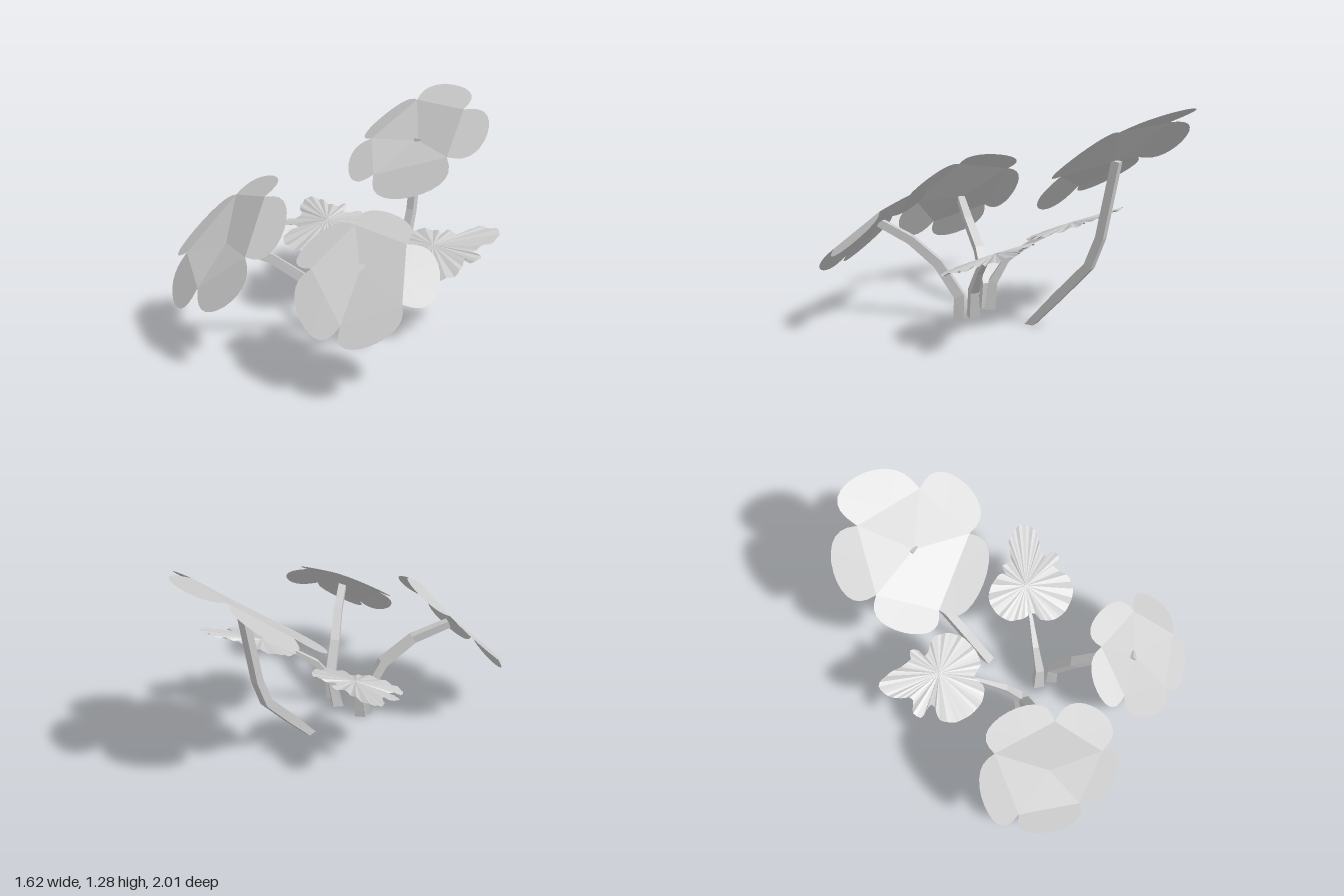
import * as THREE from 'three';

const grey = new THREE.MeshStandardMaterial({ color: 0xcccccc, side: THREE.DoubleSide });
grey.name = 'pale grey';

const V = (p) => new THREE.Vector3(p[0], p[1], p[2]);

// Faceted mesh from a list of triangle corners
function facetMesh(name, corners) {
  const geometry = new THREE.BufferGeometry().setFromPoints(corners);
  geometry.computeVertexNormals();
  const mesh = new THREE.Mesh(geometry, grey);
  mesh.name = name;
  return mesh;
}

// Five-petalled bloom: facets from the centre to the notches, one rounded petal on each side.
// Petal i lies between notch i and notch i + 1.
function bloom(name, centre, notches, tips) {
  const c = V(centre), tris = [], steps = 14;
  tips.forEach((tipPoint, i) => {
    const a = V(notches[i]), b = V(notches[(i + 1) % notches.length]);
    const mid = a.clone().add(b).multiplyScalar(0.5);
    const half = a.clone().sub(mid), reach = V(tipPoint).sub(mid);
    const rim = [];
    for (let k = 0; k <= steps; k++) {
      const t = (Math.PI * k) / steps, s = Math.max(0, Math.sin(t));
      rim.push(mid.clone()
        .addScaledVector(half, Math.cos(t) * (1 + 0.28 * s))
        .addScaledVector(reach, Math.pow(s, 0.85)));
    }
    tris.push(c, b, a);
    for (let k = 0; k < steps; k++) tris.push(mid, rim[k + 1], rim[k]);
  });
  return facetMesh(name, tris);
}

// Lobed leaf: a rippled fan on a sloping plane; outline given as x, z pairs
function leaf(name, centre, outline) {
  const height = (z) => 0.452 - 0.38 * z;
  const curve = new THREE.CatmullRomCurve3(
    outline.map(([x, z]) => new THREE.Vector3(x, height(z), z)), true, 'centripetal');
  const count = 80, rim = curve.getSpacedPoints(count);
  rim.forEach((p, i) => { p.y += 0.007 * Math.sin((i % count) * 1.6) - 0.008; });
  const c = new THREE.Vector3(centre[0], height(centre[1]) + 0.015, centre[1]);
  const tris = [];
  for (let i = 0; i < count; i++) tris.push(c, rim[i], rim[(i + 1) % count]);
  const mesh = facetMesh(name, tris);
  // keep the upper side as the front face
  if (mesh.geometry.attributes.normal.getY(0) < 0) {
    for (let i = 0; i < tris.length; i += 3) [tris[i + 1], tris[i + 2]] = [tris[i + 2], tris[i + 1]];
    return facetMesh(name, tris);
  }
  return mesh;
}

// Square stem swept along a path, cut level at the ground, tapering from w0 to w1
function stem(name, path, w0, w1) {
  const pts = path.map(V), last = pts.length - 1;
  const heading = pts[last].clone().sub(pts[0]).setY(0).normalize();
  const side = new THREE.Vector3(heading.z, 0, -heading.x);
  const rings = pts.map((p, i) => {
    const tangent = i === 0 ? new THREE.Vector3(0, 1, 0)
      : pts[Math.min(i + 1, last)].clone().sub(pts[i - 1]).normalize();
    const depth = side.clone().cross(tangent).normalize();
    const h = (w0 + (w1 - w0) * i / last) / 2;
    return [[1, 1], [-1, 1], [-1, -1], [1, -1]].map(([s, d]) =>
      p.clone().addScaledVector(side, s * h).addScaledVector(depth, d * h));
  });
  const tris = [];
  const quad = (a, b, c, d) => tris.push(a, b, c, a, c, d);
  for (let i = 0; i < last; i++) {
    for (let k = 0; k < 4; k++) {
      const n = (k + 1) % 4;
      quad(rings[i][k], rings[i][n], rings[i + 1][n], rings[i + 1][k]);
    }
  }
  quad(...[...rings[0]].reverse());
  quad(...rings[last]);
  return facetMesh(name, tris);
}

export function createModel() {
  const model = new THREE.Group();
  model.name = 'flowerCluster';

  model.add(
    // Tall bloom at the back
    bloom('backBloom', [0.05, 0.98, -0.6],
      [[-0.09, 1.19, -0.85], [0.29, 1.17, -0.73], [0.33, 0.93, -0.43], [-0.1, 0.8, -0.32], [-0.28, 0.96, -0.6]],
      [[0.1, 1.28, -1.0], [0.51, 1.06, -0.59], [0.2, 0.715, -0.24], [-0.32, 0.8, -0.39], [-0.34, 1.06, -0.83]]),
    stem('backStem',
      [[0.05, 0, -0.1], [0.05, 0.19, -0.275], [0.05, 0.395, -0.465], [0.05, 0.56, -0.53], [0.05, 0.985, -0.615]],
      0.055, 0.045),

    // Front bloom on the right
    bloom('frontRightBloom', [-0.42, 0.58, 0.68],
      [[-0.56, 0.77, 0.41], [-0.24, 0.83, 0.57], [-0.16, 0.585, 0.85], [-0.43, 0.39, 0.91], [-0.7, 0.48, 0.68]],
      [[-0.36, 0.89, 0.35], [-0.015, 0.72, 0.71], [-0.19, 0.36, 0.99], [-0.64, 0.275, 0.87], [-0.785, 0.56, 0.51]]),
    stem('frontRightStem',
      [[-0.075, 0, 0.29], [-0.08, 0.15, 0.28], [-0.14, 0.34, 0.37], [-0.25, 0.48, 0.52], [-0.4, 0.57, 0.67]],
      0.065, 0.045),

    // Front bloom on the left
    bloom('frontLeftBloom', [0.415, 0.57, 0.685],
      [[0.285, 0.74, 0.52], [0.59, 0.69, 0.54], [0.7, 0.475, 0.78], [0.443, 0.36, 0.915], [0.185, 0.56, 0.77]],
      [[0.43, 0.79, 0.4], [0.79, 0.55, 0.57], [0.62, 0.31, 0.95], [0.24, 0.36, 0.95], [0.085, 0.65, 0.64]]),
    stem('frontLeftStem',
      [[0.19, 0, 0.3], [0.2, 0.15, 0.29], [0.25, 0.34, 0.4], [0.33, 0.48, 0.53], [0.415, 0.58, 0.685]],
      0.065, 0.045),

    // Low lobed leaves
    leaf('rightLeaf', [-0.33, -0.16],
      [[-0.61, -0.37], [-0.55, -0.38], [-0.42, -0.34], [-0.37, -0.33], [-0.34, -0.365], [-0.3, -0.33],
        [-0.3, -0.28], [-0.18, -0.31], [-0.09, -0.24], [-0.07, -0.14], [-0.12, -0.02], [-0.21, 0],
        [-0.21, 0.07], [-0.31, 0.12], [-0.47, 0.08], [-0.53, 0], [-0.49, -0.09], [-0.59, -0.09],
        [-0.6, -0.14], [-0.54, -0.19], [-0.61, -0.28]]),
    stem('rightLeafStem',
      [[-0.07, 0, 0.25], [-0.075, 0.17, 0.23], [-0.12, 0.31, 0.16], [-0.2, 0.415, 0.03], [-0.28, 0.48, -0.1]],
      0.065, 0.008),
    leaf('leftLeaf', [0.42, -0.09],
      [[0.19, -0.18], [0.24, -0.23], [0.37, -0.25], [0.4, -0.225], [0.42, -0.265], [0.48, -0.25],
        [0.53, -0.29], [0.57, -0.33], [0.71, -0.33], [0.73, -0.24], [0.67, -0.16], [0.65, -0.11],
        [0.71, -0.1], [0.71, -0.05], [0.67, -0.03], [0.64, -0.05], [0.65, 0.08], [0.58, 0.15],
        [0.43, 0.17], [0.33, 0.1], [0.33, 0.04], [0.24, 0], [0.18, -0.07]]),
    stem('leftLeafStem',
      [[0.11, 0, 0.25], [0.14, 0.17, 0.23], [0.2, 0.31, 0.15], [0.3, 0.415, 0.04], [0.38, 0.47, -0.06]],
      0.065, 0.008),
  );
  return model;
}
